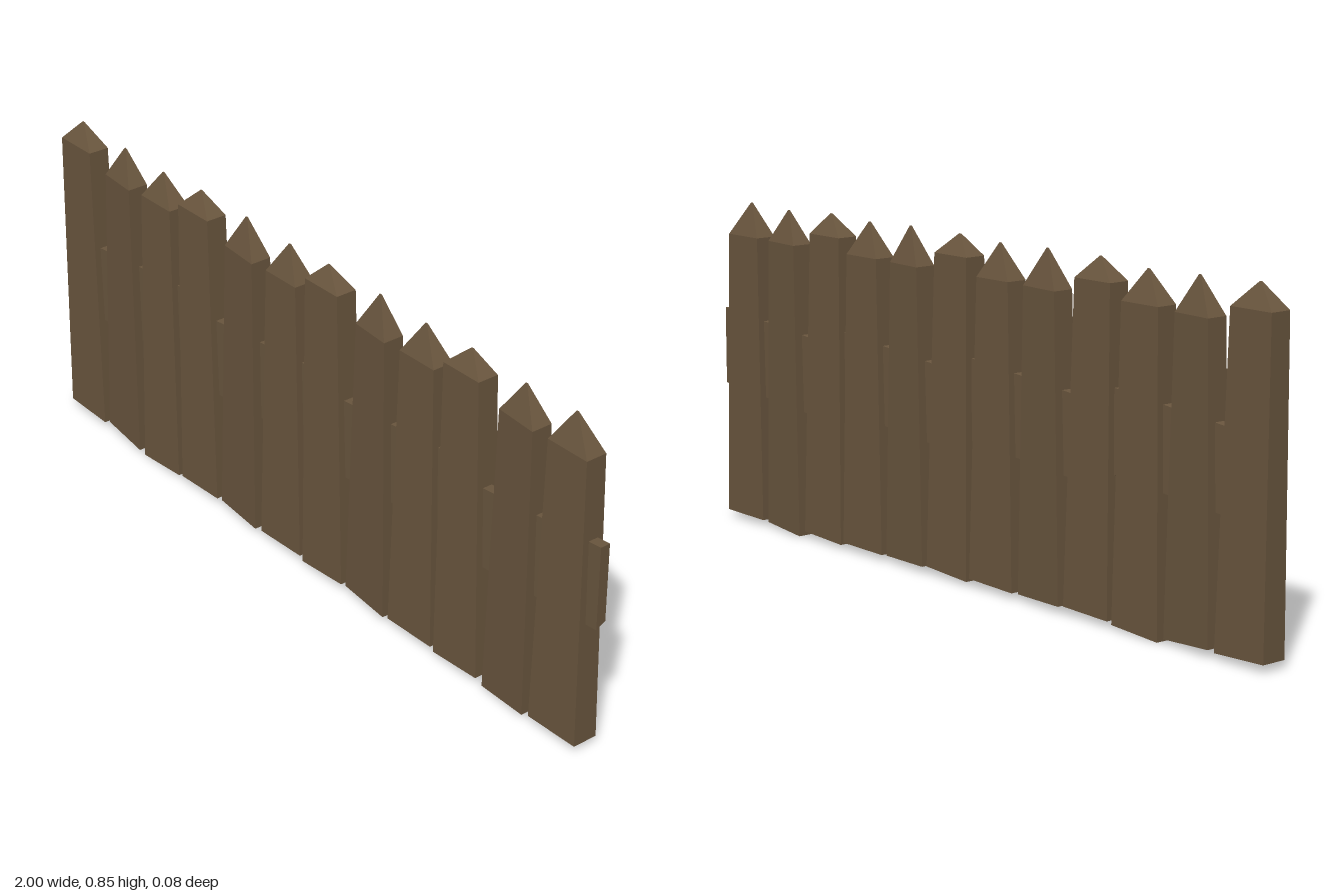
import * as THREE from 'three';

const wood = new THREE.MeshStandardMaterial({ color: 0x6b573f, flatShading: true });

// Stacks four-cornered rings (each counter-clockwise seen from the end) into a closed solid
function loft(rings) {
  const pos = [];
  const quad = (a, b, c, d) => pos.push(...a, ...b, ...c, ...a, ...c, ...d);
  for (let r = 0; r < rings.length - 1; r++) {
    for (let i = 0; i < 4; i++) {
      const j = (i + 1) % 4;
      quad(rings[r][i], rings[r][j], rings[r + 1][j], rings[r + 1][i]);
    }
  }
  const first = rings[0], last = rings[rings.length - 1];
  quad(first[3], first[2], first[1], first[0]);
  quad(last[0], last[1], last[2], last[3]);
  const geo = new THREE.BufferGeometry();
  geo.setAttribute('position', new THREE.Float32BufferAttribute(pos, 3));
  geo.computeVertexNormals();
  return geo;
}

// Horizontal ring of a picket, twisted about the picket's own axis
function pickRing(xl, xr, yl, yr, depth, cx, twist) {
  return [[xl, yl, depth], [xr, yr, depth], [xr, yr, -depth], [xl, yl, -depth]]
    .map(([x, y, z]) => [x, y, z + (x - cx) * twist]);
}

// Bottom left/right x, shoulder left/right x, shoulder y, tip x, tip y, foot left/right y
const pickets = [
  [-1.00, -0.85, -1.00, -0.877, 0.79, -0.94, 0.848, 0.02, 0.015],
  [-0.837, -0.684, -0.815, -0.703, 0.755, -0.757, 0.842, 0.02, 0.01],
  [-0.67, -0.52, -0.655, -0.537, 0.76, -0.596, 0.837, 0.00, 0.01],
  [-0.505, -0.356, -0.50, -0.382, 0.795, -0.44, 0.848, 0.015, 0.02],
  [-0.345, -0.19, -0.318, -0.20, 0.755, -0.26, 0.847, 0.018, 0.015],
  [-0.174, -0.019, -0.152, -0.04, 0.757, -0.094, 0.842, 0.015, 0.02],
  [-0.008, 0.142, -0.003, 0.115, 0.798, 0.052, 0.848, 0.01, 0.02],
  [0.152, 0.307, 0.179, 0.291, 0.755, 0.238, 0.848, 0.018, 0.015],
  [0.318, 0.473, 0.34, 0.457, 0.757, 0.398, 0.842, 0.015, 0.018],
  [0.484, 0.634, 0.489, 0.607, 0.793, 0.553, 0.847, 0.01, 0.018],
  [0.65, 0.80, 0.671, 0.789, 0.755, 0.73, 0.838, 0.003, 0.012],
  [0.815, 0.968, 0.832, 0.954, 0.757, 0.89, 0.842, 0.015, 0.018],
];

export function createModel() {
  const fence = new THREE.Group();
  fence.name = 'picketFence';

  // Tapered pickets with pyramid points; every third one is twisted
  pickets.forEach(([bl, br, tl, tr, sy, ax, ay, fl, fr], i) => {
    const twist = i % 3 === 1 ? 0.08 : 0;
    const cx = (bl + br) / 2;
    const geo = loft([
      pickRing(bl, br, fl, fr, 0.033, cx, twist),
      pickRing(tl, tr, sy, sy, 0.028, cx, twist),
      pickRing(ax - 0.003, ax + 0.003, ay, ay, 0.001, ax, 0),
    ]);
    const picket = new THREE.Mesh(geo, wood);
    picket.name = `picket${i + 1}`;
    fence.add(picket);
  });

  // Four slanted rail pieces, each spanning three pickets
  const railRing = (x, y0, y1, skew) => [
    [x, y0 - skew, 0.013], [x, y0 + skew, -0.013], [x, y1, -0.013], [x, y1, 0.013],
  ];
  for (let i = 0; i < 4; i++) {
    const x = -0.95 + i * 0.497;
    const rail = new THREE.Mesh(loft([
      railRing(x, 0.31, 0.513, 0.004),
      railRing(x + 0.455, 0.348, 0.556, 0.007),
    ]), wood);
    rail.name = `rail${i + 1}`;
    fence.add(rail);
  }
  return fence;
}
